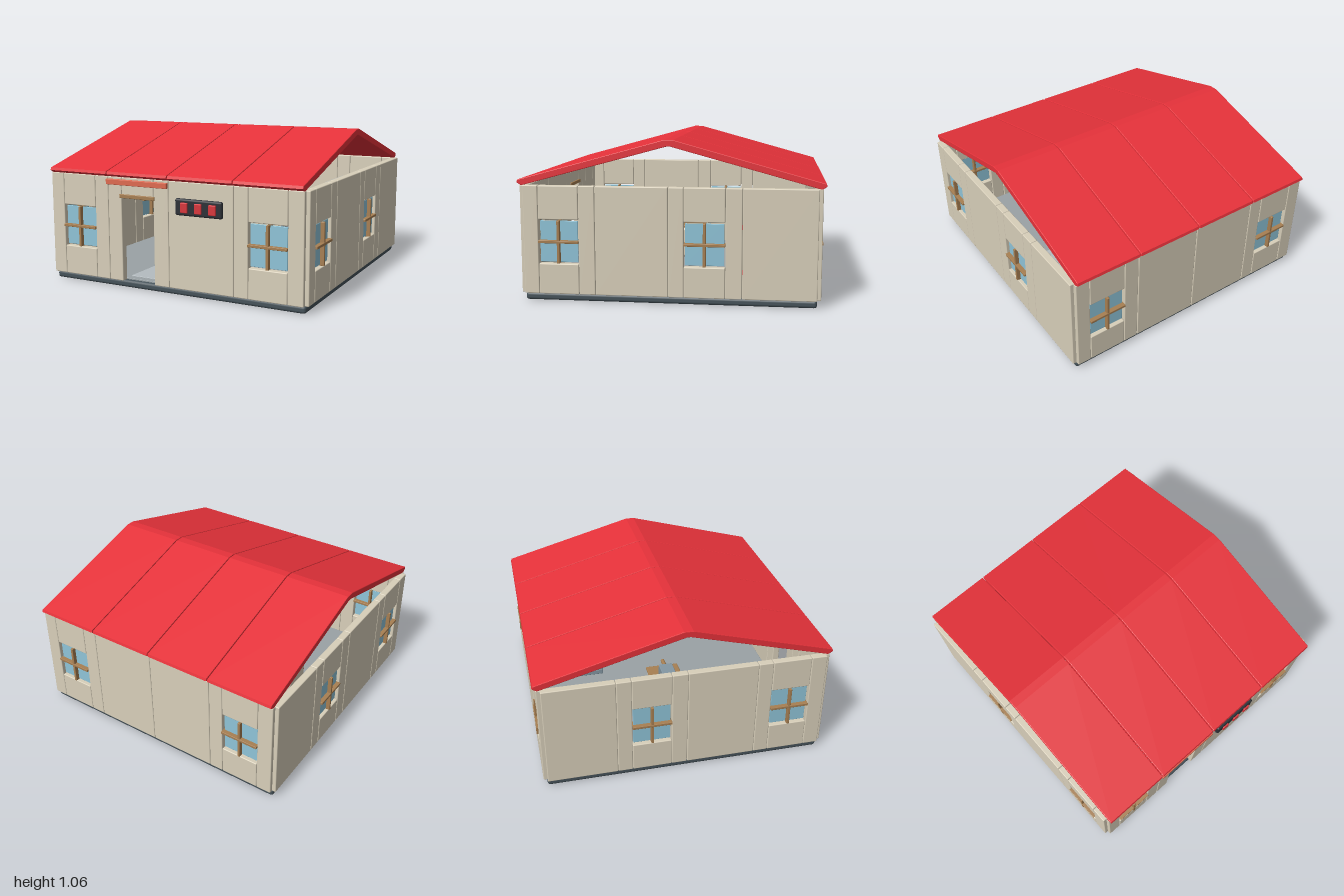
import * as THREE from 'three';
import { RoundedBoxGeometry } from 'three/addons/geometries/RoundedBoxGeometry.js';

const mat = (color) => new THREE.MeshStandardMaterial({ color });
const M = {
  wall: mat(0xd8cfba), roof: mat(0xe6323a), base: mat(0x46535a), floor: mat(0x9aa2a5),
  glass: mat(0x8fc4d8), wood: mat(0xa77f52), dark: mat(0x2b2f35), red: mat(0xd8363c),
  canopy: mat(0xdf6a50), grey: mat(0xb4bcc0), steel: mat(0x8497a3), gold: mat(0xd0b050),
};
const ZC = -0.01;      // centre of the building in z
const WALL = 0.945;    // centre line of the walls
const W = WALL / 2;    // width of one wall panel
const Y0 = 0.05, Y1 = 0.76;

// Soft-edged box given by its min and max corners
function box(parent, name, m, [x0, y0, z0], [x1, y1, z1], r = 0.006) {
  const w = x1 - x0, h = y1 - y0, d = z1 - z0;
  const mesh = new THREE.Mesh(new RoundedBoxGeometry(w, h, d, 2, Math.min(r, w / 2.2, h / 2.2, d / 2.2)), m);
  mesh.position.set((x0 + x1) / 2, (y0 + y1) / 2, (z0 + z1) / 2);
  mesh.name = name;
  parent.add(mesh);
  return mesh;
}

// Wall panels, built from x = 0 to W with the outside towards +z
const T = 0.025;
const wallBox = (g, name, x0, x1, y0 = Y0, y1 = Y1) =>
  box(g, name, M.wall, [x0 + 0.001, y0, -T], [x1 - 0.001, y1, T]);

const panels = {
  plain(g) { wallBox(g, 'wallPanel', 0, W); },

  window(g) {
    const a = 0.1, b = 0.365, mid = (a + b) / 2, lo = 0.25, hi = 0.54, cy = 0.395;
    wallBox(g, 'windowPost', 0, a);
    wallBox(g, 'windowPost', b, W);
    wallBox(g, 'windowSillPanel', a, b, Y0, lo);
    wallBox(g, 'windowTopPanel', a, b, hi, Y1);
    box(g, 'windowGlass', M.glass, [a + 0.008, lo + 0.01, -0.006], [b - 0.008, hi - 0.01, 0.006], 0.002);
    box(g, 'windowBarVertical', M.wood, [mid - 0.009, lo + 0.004, -0.034], [mid + 0.009, hi - 0.006, 0.034], 0.003);
    box(g, 'windowBarHorizontal', M.wood, [a, cy - 0.009, -0.036], [b, cy + 0.009, 0.036], 0.003);
  },

  door(g) {
    const a = 0.108, b = 0.358;
    wallBox(g, 'doorPost', 0, a);
    wallBox(g, 'doorPost', b, W);
    wallBox(g, 'doorTopPanel', a, b, 0.635, Y1);
    box(g, 'doorLintel', M.wood, [a - 0.012, 0.62, -0.035], [b + 0.012, 0.646, 0.035], 0.004);
    box(g, 'doorCanopy', M.canopy, [0, 0.708, 0.025], [W, 0.745, 0.05], 0.004);
  },
};

function wall(name, angle, types) {
  const g = new THREE.Group();
  g.name = name;
  types.forEach((type, i) => {
    const p = new THREE.Group();
    p.name = type + 'Section';
    p.position.set(-WALL + i * W, 0, WALL);
    panels[type](p);
    g.add(p);
  });
  g.rotation.y = angle;
  return g;
}

// Four gabled roof strips side by side
function roof() {
  const g = new THREE.Group();
  g.name = 'roof';
  const half = [[0.03, 1.052], [0.983, 0.79], [0.987, 0.777], [0.96, 0.76], [0.012, 1.018]];
  const mirrored = half.slice().reverse().map(([z, y]) => [-z, y]);
  const shape = new THREE.Shape([...half, ...mirrored].map(([z, y]) => new THREE.Vector2(z, y)));
  const bevel = 0.004;
  const geo = new THREE.ExtrudeGeometry(shape, {
    depth: W - 0.006 - 2 * bevel, bevelEnabled: true, bevelSize: bevel, bevelThickness: bevel, bevelSegments: 2,
  });
  geo.translate(0, 0, bevel + 0.003);
  geo.rotateY(Math.PI / 2);
  for (let i = 0; i < 4; i++) {
    const strip = new THREE.Mesh(geo, M.roof);
    strip.name = 'roofStrip';
    strip.position.x = -WALL + i * W;
    g.add(strip);
  }
  return g;
}

// Dark board with three red lights
function sign() {
  const g = new THREE.Group();
  g.name = 'signBoard';
  box(g, 'signBack', M.dark, [0.065, 0.545, 0.968], [0.405, 0.655, 0.998], 0.014);
  for (let i = 0; i < 3; i++) {
    const x = 0.11 + i * 0.102;
    box(g, 'signLight', M.red, [x, 0.565, 0.985], [x + 0.052, 0.632, 1.01], 0.006);
  }
  return g;
}

// Service counter with a till, seen through the door
function counter() {
  const g = new THREE.Group();
  g.name = 'counter';
  box(g, 'counterBody', M.wall, [-0.58, 0.07, -0.1], [-0.15, 0.3, 0.12], 0.02);
  box(g, 'counterTop', M.wood, [-0.59, 0.297, -0.11], [-0.165, 0.318, 0.13], 0.008);
  box(g, 'counterStripe', M.red, [-0.57, 0.195, 0.11], [-0.165, 0.228, 0.13], 0.004);
  box(g, 'till', M.steel, [-0.42, 0.318, -0.04], [-0.285, 0.405, 0.06], 0.006);
  const lever = new THREE.Mesh(new THREE.CylinderGeometry(0.014, 0.014, 0.085, 16), M.wood);
  lever.name = 'tillLever';
  lever.rotation.z = Math.PI / 2;
  lever.position.set(-0.243, 0.378, 0.01);
  const knob = new THREE.Mesh(new THREE.SphereGeometry(0.015, 16, 12), M.gold);
  knob.name = 'counterKnob';
  knob.position.set(-0.195, 0.255, 0.125);
  g.add(lever, knob);
  return g;
}

// Red cooler with a glass front and pale lid
function cooler() {
  const g = new THREE.Group();
  g.name = 'cooler';
  box(g, 'coolerBody', M.red, [0.56, 0.06, -0.85], [0.86, 0.57, -0.45], 0.01);
  box(g, 'coolerGlass', M.glass, [0.595, 0.25, -0.46], [0.825, 0.5, -0.44], 0.003);
  box(g, 'coolerLid', M.grey, [0.54, 0.57, -0.87], [0.88, 0.6, -0.43], 0.008);
  return g;
}

// Low display shelf
function shelf() {
  const g = new THREE.Group();
  g.name = 'displayShelf';
  for (const x of [0.2, 0.46]) box(g, 'shelfSide', M.steel, [x, 0.06, -0.62], [x + 0.02, 0.38, -0.38]);
  for (let i = 0; i < 3; i++) {
    const y = 0.09 + i * 0.14;
    box(g, 'shelfBoard', M.grey, [0.2, y, -0.62], [0.48, y + 0.02, -0.38]);
  }
  return g;
}

export function createModel() {
  const model = new THREE.Group();
  model.name = 'smallShop';
  const house = new THREE.Group();
  house.name = 'building';
  house.position.z = ZC;
  box(house, 'baseSlab', M.base, [-0.948, 0, -0.945], [0.948, 0.05, 0.945], 0.018);
  box(house, 'floor', M.floor, [-0.92, 0.045, -0.92], [0.92, 0.06, 0.92], 0.003);
  box(house, 'doorMat', M.grey, [-0.36, 0.058, 0.6], [-0.12, 0.068, 0.88], 0.003);
  house.add(
    wall('frontWall', 0, ['window', 'door', 'plain', 'window']),
    wall('leftWall', Math.PI / 2, ['window', 'plain', 'window', 'plain']),
    wall('backWall', Math.PI, ['window', 'plain', 'plain', 'window']),
    wall('rightWall', -Math.PI / 2, ['plain', 'window', 'plain', 'window']),
    roof(), sign(), counter(), cooler(), shelf(),
  );
  model.add(house);
  return model;
}
